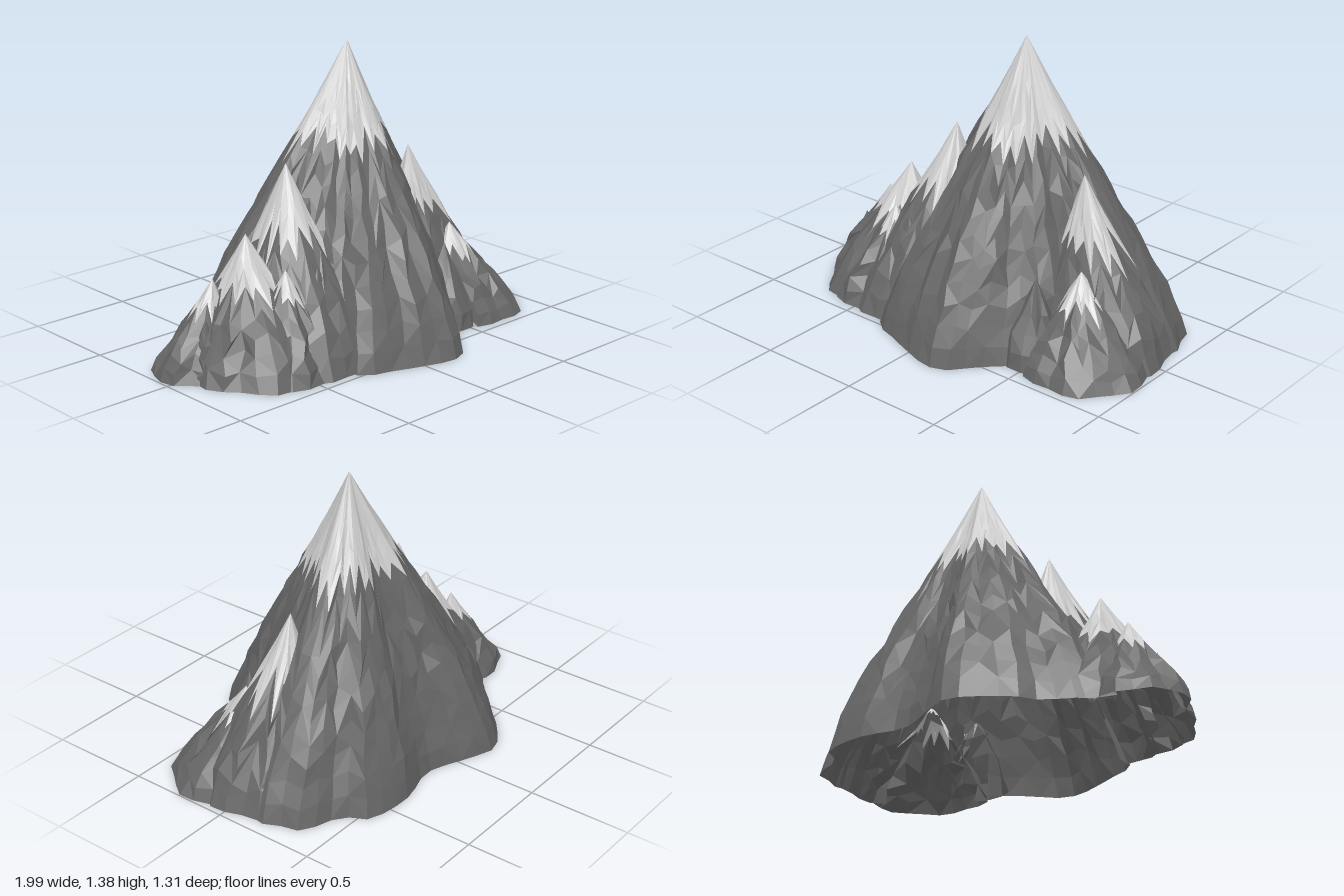
import * as THREE from 'three';

// Repeatable noise in -1..1
const noise = (a, b, c) => {
  const s = Math.sin(a * 127.1 + b * 311.7 + c * 74.7) * 43758.5453;
  return (s - Math.floor(s)) * 2 - 1;
};

const rock = new THREE.MeshStandardMaterial({ color: 0x666666, flatShading: true, side: THREE.DoubleSide });
const snow = new THREE.MeshStandardMaterial({ color: 0xffffff, flatShading: true, side: THREE.DoubleSide });

// Skin between rows of points, without the triangles buried in another peak
function skin(name, cols, rows, point, material, buried) {
  const pos = [];
  const grid = Array.from({ length: rows + 1 }, (_, k) => Array.from({ length: cols }, (_, i) => {
    const p = point(i, k);
    return { p, under: buried(p) };
  }));
  const face = (...corners) => {
    if (!corners.every(c => c.under)) corners.forEach(c => pos.push(...c.p.toArray()));
  };
  for (let k = 0; k < rows; k++)
    for (let i = 0; i < cols; i++) {
      const j = (i + 1) % cols;
      const a = grid[k][i], b = grid[k][j], c = grid[k + 1][i], d = grid[k + 1][j];
      if ((i + k) % 2) { face(a, c, b); face(b, c, d); }
      else { face(a, c, d); face(a, d, b); }
    }
  const geo = new THREE.BufferGeometry();
  geo.setAttribute('position', new THREE.Float32BufferAttribute(pos, 3));
  geo.computeVertexNormals();
  const mesh = new THREE.Mesh(geo, material);
  mesh.name = name;
  return mesh;
}

// Wavy oval footprint, as [x, z] pairs
function oval(cx, cz, rx, rz) {
  return Array.from({ length: 28 }, (_, i) => {
    const a = i / 14 * Math.PI, wave = 1 + 0.05 * Math.sin(7 * a);
    return [cx + rx * wave * Math.cos(a), cz + rz * wave * Math.sin(a)];
  });
}

// Slight swelling of the slope above the foot
const swell = t => 1 + 0.5 * t * (1 - t) ** 2;

// One craggy peak: a footprint drawn up to an apex, with snow above a jagged line
class Peak {
  constructor(name, apex, foot, snowLine, jag, rough, seed) {
    Object.assign(this, { name, snowLine, jag, rough, seed });
    this.top = new THREE.Vector3(...apex);
    const loop = new THREE.CatmullRomCurve3(foot.map(([x, z]) => new THREE.Vector3(x, 0, z)), true);
    this.cols = 2 * Math.round(loop.getLength() * 6);
    this.base = loop.getSpacedPoints(this.cols).map(p => p.setY(this.top.y).sub(this.top));
  }

  // Height of the plain slope over a ground position, or -1 outside the footprint
  height(x, z) {
    const dx = x - this.top.x, dz = z - this.top.z;
    for (let i = 0; i < this.cols; i++) {
      const p = this.base[i], q = this.base[i + 1];
      if (p.x * dz - p.z * dx < 0 || q.x * dz - q.z * dx > 0) continue;
      const out = (dx * (q.z - p.z) - dz * (q.x - p.x)) / (p.x * q.z - p.z * q.x);
      if (out < 0) continue;
      if (out >= 1) return -1;
      let t = 1 - out;
      for (let n = 0; n < 4; n++) t = 1 - out / swell(t);
      return t * this.top.y;
    }
    return -1;
  }

  // Point on column i at height fraction t; ridges run down the columns
  at(i, t, k) {
    const { top, seed } = this, b = this.base[i];
    const crag = 6 * t * (1 - t) ** 2 * this.rough / Math.hypot(b.x, b.z);
    const ridge = noise(i, 0, seed) * 0.7 + noise(i, k, seed + 5) * 0.5;
    const r = (1 - t) * swell(t) + crag * ridge;
    const twist = crag * 0.6 * noise(i, k, seed + 9);
    return new THREE.Vector3(top.x + b.x * r - b.z * twist, top.y * t, top.z + b.z * r + b.x * twist);
  }

  line(i) {
    return this.snowLine + this.jag * ((i % 2 ? 0.5 : -0.5) + 0.6 * noise(i, 3, this.seed + 2));
  }

  build(others) {
    const buried = p => others.some(o => o.height(p.x, p.z) > p.y + 0.012);
    const group = new THREE.Group();
    group.name = this.name;
    const rows = Math.max(5, Math.round(this.top.y * 7));
    group.add(skin(this.name + 'Rock', this.cols, rows,
      (i, k) => this.at(i, this.line(i) * k / rows, k), rock, buried));
    if (this.snowLine < 1) {
      const caps = Math.max(3, Math.round(this.top.y * 4));
      group.add(skin(this.name + 'Snow', this.cols, caps,
        (i, k) => this.at(i, this.line(i) + (1 - this.line(i)) * k / caps, rows + k), snow, buried));
    }
    return group;
  }
}

// Footprint of the main peak, from its right side round the back
const MAIN_FOOT = [
  [-0.68, -0.25], [-0.49, -0.4], [-0.45, -0.48], [-0.3, -0.61], [-0.2, -0.66], [-0.05, -0.61],
  [0.16, -0.53], [0.38, -0.58], [0.62, -0.54], [0.68, -0.44], [0.87, -0.36], [0.9, -0.26],
  [0.94, -0.15], [0.72, 0.05], [0.58, 0.22], [0.46, 0.38], [0.32, 0.52], [0.24, 0.62],
  [0.15, 0.65], [0, 0.61], [-0.16, 0.55], [-0.29, 0.5], [-0.32, 0.36], [-0.57, 0],
];

// Side peaks: name, apex, footprint oval (centre and radii), snow line
const SIDE_PEAKS = [
  ['upperRightPeak', [-0.26, 0.87, -0.04], [-0.31, 0.05, 0.36, 0.43], 0.6],
  ['rightShoulder', [-0.15, 0.71, 0.06], [-0.16, 0.14, 0.26, 0.34], 0.82],
  ['middleRightPeak', [-0.53, 0.6, -0.01], [-0.55, 0.06, 0.34, 0.37], 0.62],
  ['lowerRightPeak', [-0.7, 0.42, -0.04], [-0.75, -0.06, 0.24, 0.2], 0.68],
  ['frontRightPeak', [-0.46, 0.46, 0.18], [-0.48, 0.22, 0.28, 0.24], 0.76],
  ['leftPeak', [0.51, 0.82, -0.02], [0.62, 0, 0.35, 0.3], 0.6],
  ['frontLeftPeak', [0.63, 0.44, 0.15], [0.69, 0.17, 0.3, 0.3], 0.66],
];

// Small bare crags on the flanks: apexes
const CRAGS = [[-0.32, 0.46, 0.24], [-0.62, 0.3, 0.19], [-0.8, 0.27, 0.03], [0.47, 0.4, 0.27]];

export function createModel() {
  const peaks = [
    new Peak('mainPeak', [0.14, 1.385, -0.06], MAIN_FOOT, 0.67, 0.06, 0.025, 1),
    ...SIDE_PEAKS.map(([name, apex, foot, line], n) =>
      new Peak(name, apex, oval(...foot), line, 0.12, 0.03, n + 2)),
    ...CRAGS.map(([x, y, z], n) =>
      new Peak('crag' + (n + 1), [x, y, z], oval(x, z, y * 0.45, y * 0.4), 1, 0, 0.03, n + 30)),
  ];
  const mountain = new THREE.Group();
  mountain.name = 'mountain';
  peaks.forEach(p => mountain.add(p.build(peaks.filter(o => o !== p))));
  return mountain;
}
